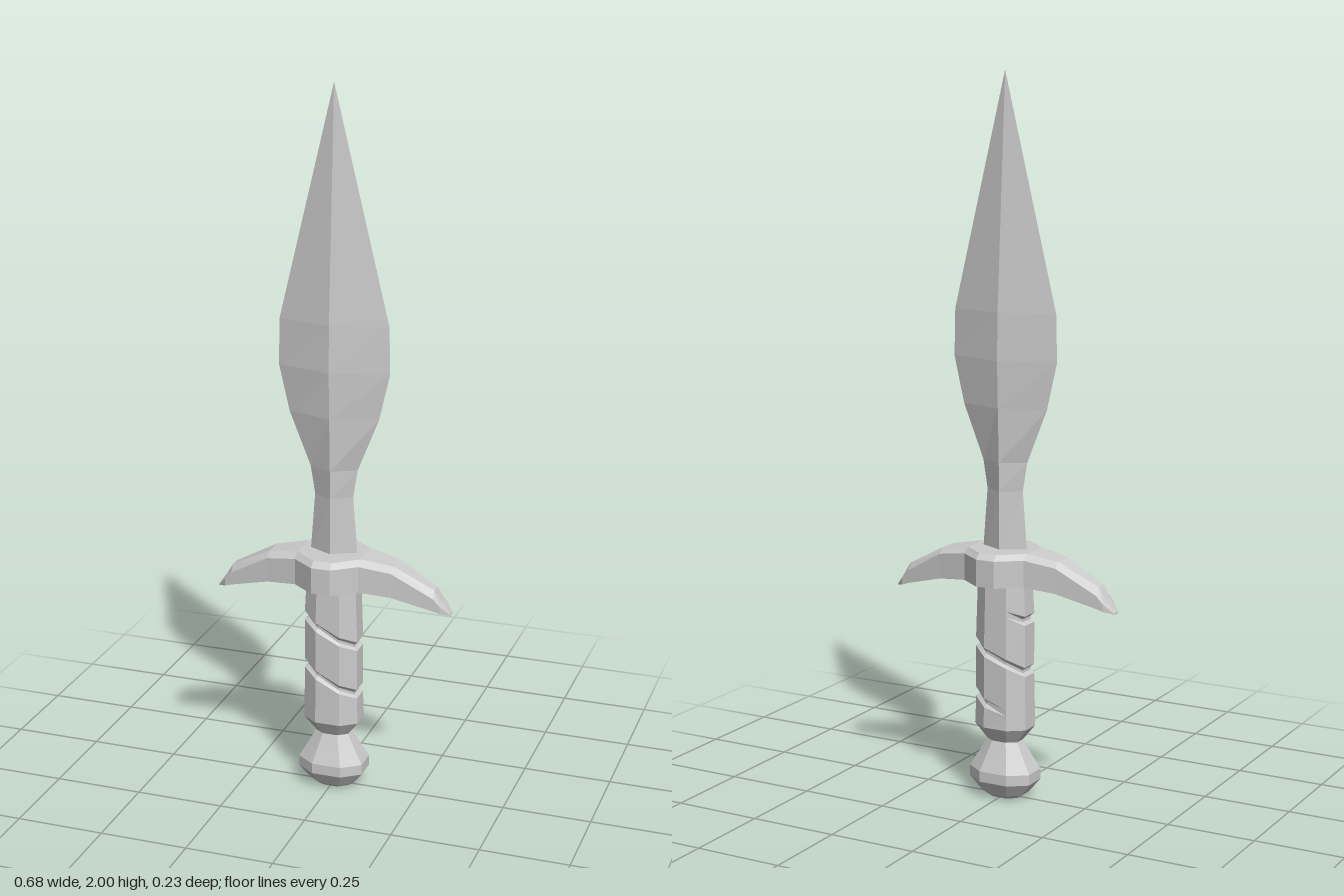
import * as THREE from 'three';

const material = new THREE.MeshStandardMaterial({ color: 0xcccccc, flatShading: true });

// Skin a stack of equal-sized rings and close both ends.
// Corners run counterclockwise seen from the last ring's end.
function loft(name, rings, closed = true) {
  const n = rings[0].length;
  const index = [];
  const columns = closed ? n : n - 1;
  for (let r = 0; r < rings.length - 1; r++) {
    for (let c = 0; c < columns; c++) {
      const a = r * n + c, b = r * n + (c + 1) % n;
      index.push(a, b, b + n, a, b + n, a + n);
    }
  }
  const last = (rings.length - 1) * n;
  for (let c = 1; c < columns - 1; c++) {
    index.push(0, c + 1, c, last, last + c, last + c + 1);
  }
  const indexed = new THREE.BufferGeometry();
  indexed.setAttribute('position', new THREE.Float32BufferAttribute(rings.flat(2), 3));
  indexed.setIndex(index);
  const geometry = indexed.toNonIndexed();
  geometry.computeVertexNormals();
  const mesh = new THREE.Mesh(geometry, material);
  mesh.name = name;
  return mesh;
}

// Flattened octagon of the handle, starting at the back and passing the left of the front view
const OCTAGON = [[-0.45, -0.75], [-1, -0.35], [-1, 0.35], [-0.45, 0.75],
  [0.45, 0.75], [1, 0.35], [1, -0.35], [0.45, -0.75]];
const octagonRing = (y, r) => OCTAGON.map(([x, z]) => [x * r, y, z * r]);

// Leaf blade with a diamond section: height, half width, half thickness
function makeBlade() {
  const sections = [
    [0.68, 0.07, 0.036], [0.87, 0.055, 0.034], [0.95, 0.068, 0.036], [1.1, 0.128, 0.041],
    [1.23, 0.158, 0.045], [1.36, 0.155, 0.042], [2, 0, 0],
  ];
  return loft('blade', sections.map(([y, w, t]) =>
    [[0, y, -t], [-w, y, 0], [0, y, t], [w, y, 0]]));
}

// Drooping crossguard with bevelled upper edges:
// x, top height, bevel height, bottom height, half depth of top, half depth of sides
function makeGuard() {
  const half = [
    [0.027, 0.71, 0.695, 0.62, 0.097, 0.115],
    [0.092, 0.71, 0.695, 0.62, 0.045, 0.065],
    [0.18, 0.695, 0.68, 0.61, 0.029, 0.049],
    [0.295, 0.635, 0.615, 0.579, 0.016, 0.032],
    [0.315, 0.603, 0.592, 0.572, 0.013, 0.029],
    [0.34, 0.568, 0.566, 0.564, 0.009, 0.011],
  ];
  const mirrored = half.map(([x, ...rest]) => [-x, ...rest]).reverse();
  return loft('crossguard', [...mirrored, ...half].map(([x, top, bevel, bottom, t, s]) =>
    [[x, bottom, -s], [x, bevel, -s], [x, top, -t], [x, top, t], [x, bevel, s], [x, bottom, s]]));
}

// Octagonal grip with a groove winding twice around it
function makeGrip() {
  const columns = [...OCTAGON, OCTAGON[0]];
  const upperTurn = [0.54, 0.515, 0.515, 0.495, 0.46, 0.44, 0.44, 0.42, 0.395];
  const pitch = 0.145;
  const ring = (height, radius) => columns.map(([x, z], c) => {
    const r = radius(c);
    return [x * r, height(c), z * r];
  });
  const level = (y, r) => ring(() => y, () => r);
  const rings = [level(0.163, 0.048), level(0.205, 0.08)];
  for (const turn of [1, 0]) {
    // The groove fades out at its two ends
    const fades = (c) => (turn === 0 && c === 0) || (turn === 1 && c === 8);
    for (const [dy, inset] of [[-0.013, 0], [-0.004, 0.01], [0.004, 0.01], [0.013, 0]]) {
      rings.push(ring((c) => upperTurn[c] - turn * pitch + dy,
        (c) => 0.077 - (fades(c) ? 0 : inset)));
    }
  }
  rings.push(level(0.64, 0.071));
  return loft('grip', rings, false);
}

// Faceted pommel: height, radius
function makePommel() {
  const profile = [[0, 0.045], [0.012, 0.064], [0.05, 0.094], [0.08, 0.094], [0.12, 0.071], [0.166, 0.046]];
  return loft('pommel', profile.map(([y, r]) => octagonRing(y, r)));
}

export function createModel() {
  const dagger = new THREE.Group();
  dagger.name = 'dagger';
  dagger.add(makeBlade(), makeGuard(), makeGrip(), makePommel());
  return dagger;
}
